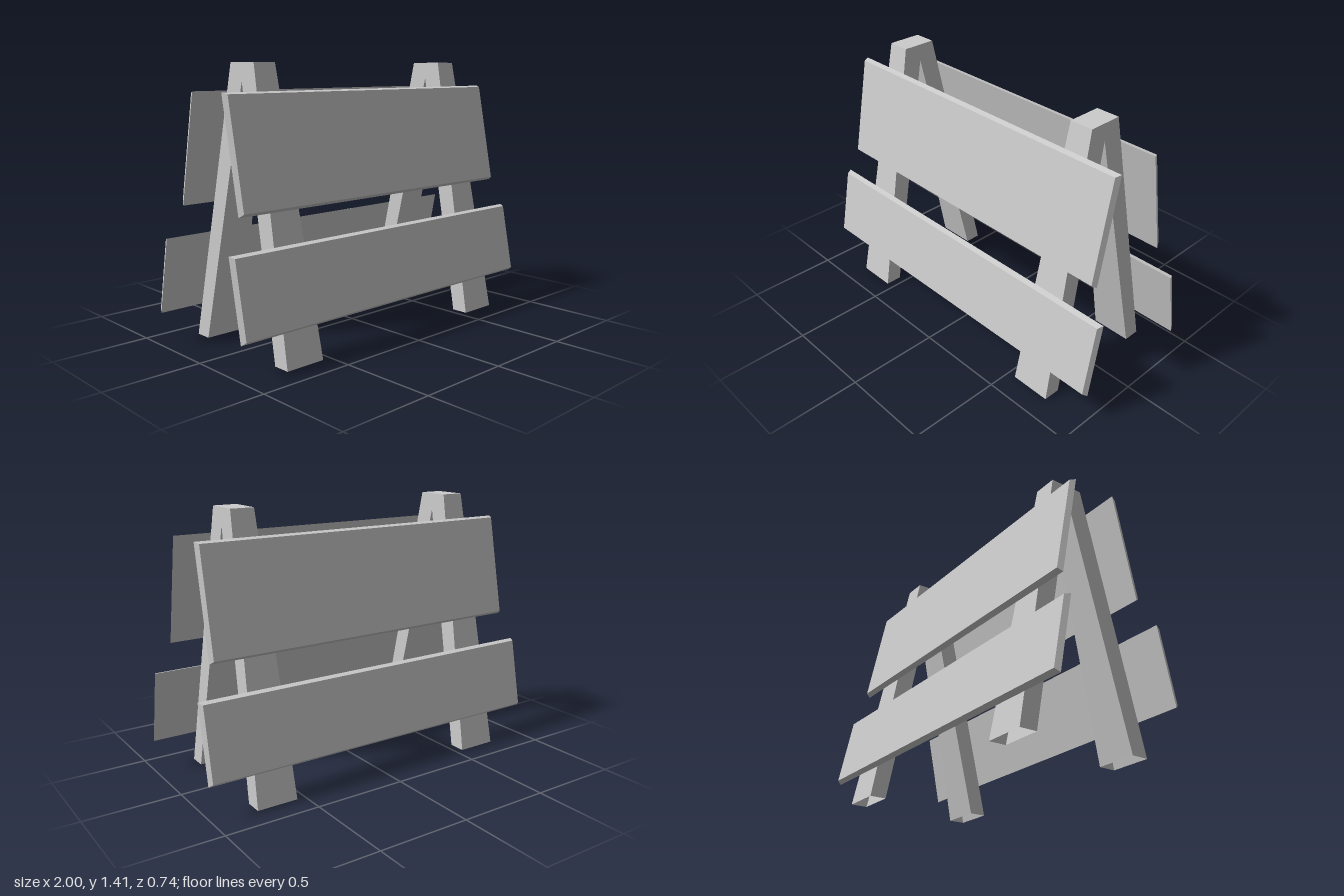
import * as THREE from 'three';

const HEIGHT = 1.415, TOP_Z = 0.092, FOOT_Z = 0.372;
const TILT = Math.atan((FOOT_Z - TOP_Z) / HEIGHT);

const grey = new THREE.MeshStandardMaterial({ color: 0xcccccc, flatShading: true, side: THREE.DoubleSide });

// A-shaped trestle: profile in z/y, flaring in width towards the ground, feet open underneath
function trestleGeometry() {
  const profile = new THREE.Shape([
    [-FOOT_Z, 0], [-0.28, 0], [0, 1.325], [0.28, 0], [FOOT_Z, 0], [TOP_Z, HEIGHT], [-TOP_Z, HEIGHT],
  ].map(([z, y]) => new THREE.Vector2(z, y)));
  const extruded = new THREE.ExtrudeGeometry(profile, { depth: 2, bevelEnabled: false });
  extruded.translate(0, 0, -1).rotateY(-Math.PI / 2);
  const src = extruded.index ? extruded.toNonIndexed().attributes.position : extruded.attributes.position;
  const kept = [];
  for (let i = 0; i < src.count; i += 3) {
    // leave out the underside of the feet
    if (Math.max(src.getY(i), src.getY(i + 1), src.getY(i + 2)) < 0.001) continue;
    for (let k = i; k < i + 3; k++) {
      const y = src.getY(k);
      const halfWidth = THREE.MathUtils.lerp(0.11, 0.063, y / HEIGHT);
      kept.push(src.getX(k) * halfWidth, y, src.getZ(k));
    }
  }
  const geometry = new THREE.BufferGeometry();
  geometry.setAttribute('position', new THREE.Float32BufferAttribute(kept, 3));
  geometry.computeVertexNormals();
  return geometry;
}

// Board whose outer face is slightly smaller than its back
function boardGeometry(width, height) {
  const thickness = 0.028, inset = 0.013;
  const geometry = new THREE.BoxGeometry(width, height, thickness);
  geometry.translate(0, 0, thickness / 2);
  const pos = geometry.attributes.position;
  for (let i = 0; i < pos.count; i++) {
    if (pos.getZ(i) < thickness / 2) continue;
    pos.setX(i, pos.getX(i) - Math.sign(pos.getX(i)) * inset);
    pos.setY(i, pos.getY(i) - Math.sign(pos.getY(i)) * inset);
  }
  geometry.computeVertexNormals();
  return geometry;
}

export function createModel() {
  const model = new THREE.Group();
  model.name = 'trestleBarrier';

  // Two trestles
  const trestle = trestleGeometry();
  for (const [name, x] of [['leftTrestle', 0.655], ['rightTrestle', -0.655]]) {
    const mesh = new THREE.Mesh(trestle, grey);
    mesh.name = name;
    mesh.position.x = x;
    model.add(mesh);
  }

  // Two boards lying against the sloping legs on each face
  const boards = [
    { name: 'upperBoard', width: 1.84, bottom: 0.723, top: 1.28 },
    { name: 'lowerBoard', width: 2, bottom: 0.172, top: 0.565 },
  ];
  for (const [name, turn] of [['frontBoards', 0], ['backBoards', Math.PI]]) {
    const side = new THREE.Group();
    side.name = name;
    side.rotation.y = turn;
    for (const b of boards) {
      const y = (b.bottom + b.top) / 2;
      const mesh = new THREE.Mesh(boardGeometry(b.width, (b.top - b.bottom) / Math.cos(TILT)), grey);
      mesh.name = b.name;
      mesh.position.set(0, y, THREE.MathUtils.lerp(FOOT_Z, TOP_Z, y / HEIGHT));
      mesh.rotation.x = -TILT;
      side.add(mesh);
    }
    model.add(side);
  }
  return model;
}
